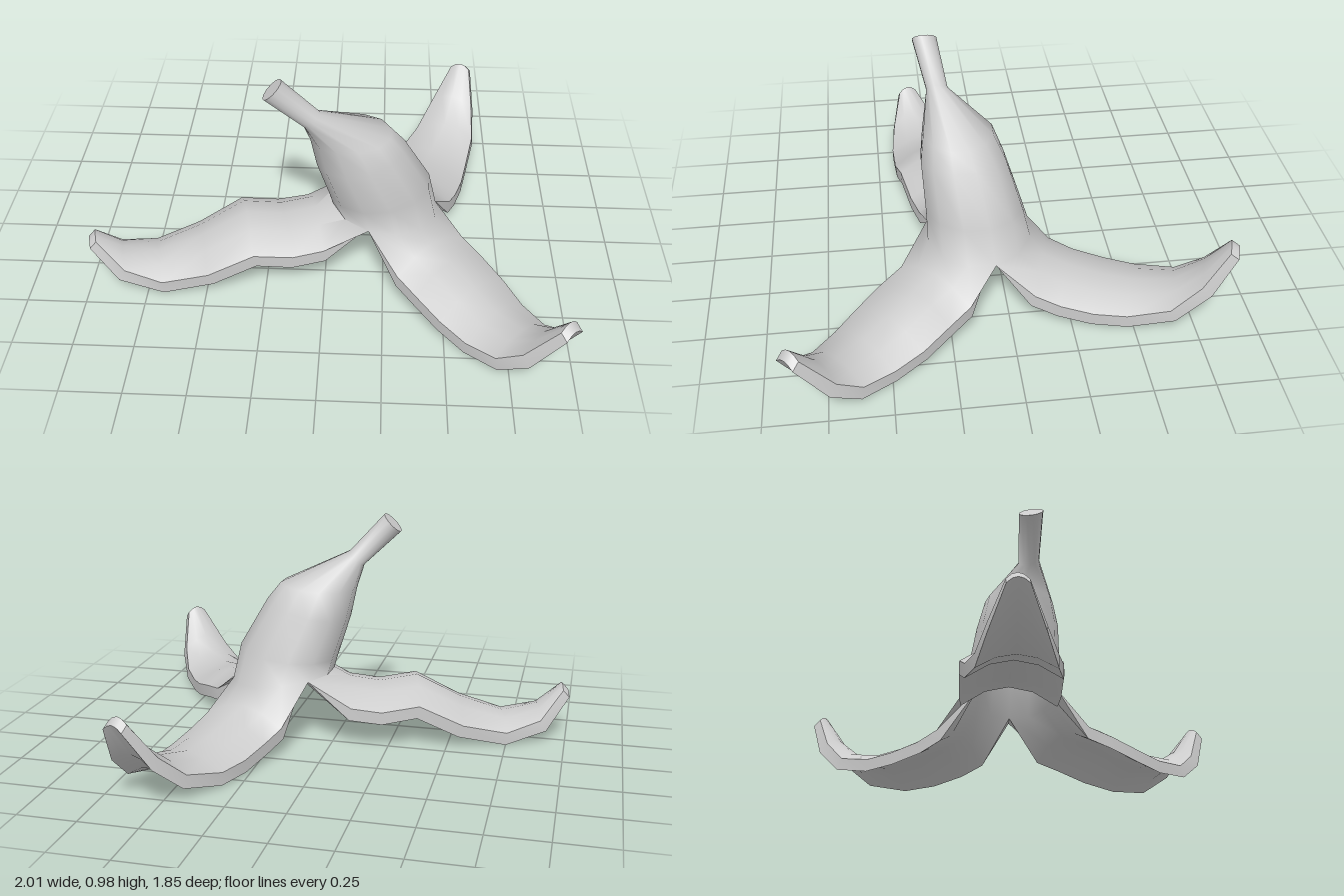
import * as THREE from 'three';
import { toCreasedNormals } from 'three/addons/utils/BufferGeometryUtils.js';

const V = (x, y, z) => new THREE.Vector3(x, y, z);
const STEP = Math.PI / 6;
const START = THREE.MathUtils.degToRad(47);

// Body rings, stem tip to root: [cx, cy, cz, rx, rz, slope of y over x, inner scale]
const RINGS = [
  [-0.207, 0.947, 0.272, 0.038, 0.053, 1.0, 0],
  [-0.055, 0.79, 0.235, 0.032, 0.046, 1.0, 0.02],
  [0.102, 0.675, 0.165, 0.17, 0.15, 0.06, 0.72],
  [0.142, 0.575, 0.15, 0.185, 0.18, 0.22, 0.76],
  [0.225, 0.385, 0.115, 0.217, 0.207, 0.12, 0.78],
  [0.25, 0.275, 0.1, 0.228, 0.222, -0.12, 0.78],
];

// Flap stations, root to tip: [x, y, z, half width, edge drop]
const FLAPS = [
  { name: 'frontLeftFlap', stations: [
    [0.45, 0.215, 0.30, 0.195, 0.07], [0.53, 0.2, 0.395, 0.195, 0.08],
    [0.62, 0.16, 0.5, 0.19, 0.075], [0.705, 0.13, 0.605, 0.17, 0.07],
    [0.8, 0.135, 0.71, 0.145, 0.065], [0.87, 0.2, 0.785, 0.11, 0.055],
    [0.945, 0.33, 0.865, 0.045, 0.025]] },
  { name: 'rightFlap', stations: [
    [-0.05, 0.27, 0.14, 0.2, 0.085], [-0.18, 0.25, 0.165, 0.205, 0.08],
    [-0.34, 0.28, 0.2, 0.205, 0.08], [-0.53, 0.18, 0.24, 0.185, 0.075],
    [-0.72, 0.115, 0.28, 0.15, 0.055], [-0.87, 0.155, 0.305, 0.105, 0.05],
    [-0.972, 0.25, 0.327, 0.042, 0.025]] },
  { name: 'backFlap', stations: [
    [0.36, 0.2, -0.16, 0.195, 0.07], [0.4, 0.165, -0.26, 0.19, 0.07],
    [0.44, 0.135, -0.39, 0.185, 0.065], [0.48, 0.125, -0.52, 0.17, 0.06],
    [0.545, 0.165, -0.68, 0.14, 0.055], [0.58, 0.26, -0.79, 0.1, 0.045],
    [0.615, 0.395, -0.88, 0.045, 0.025]] },
];

// Point k of a body ring, scaled toward the ring's centre
function ringPoint([cx, cy, cz, rx, rz, slope], k, scale = 1) {
  const dx = Math.cos(START + k * STEP) * rx * scale;
  const dz = Math.sin(START + k * STEP) * rz * scale;
  return V(cx + dx, cy + slope * dx, cz + dz);
}

const quad = (out, a, b, c, d) => out.push(a, b, c, b, d, c);

// Skin over a grid of rows; flip turns it to face inward
function skin(out, rows, flip) {
  for (let r = 0; r + 1 < rows.length; r++) {
    for (let c = 0; c + 1 < rows[r].length; c++) {
      const [a, b, d, e] = [rows[r][c], rows[r][c + 1], rows[r + 1][c], rows[r + 1][c + 1]];
      if (flip) quad(out, b, a, e, d);
      else quad(out, a, b, d, e);
    }
  }
}

function makeMesh(name, points, crease) {
  const geometry = toCreasedNormals(new THREE.BufferGeometry().setFromPoints(points), crease);
  const mesh = new THREE.Mesh(geometry, new THREE.MeshStandardMaterial({ color: 0xcccccc }));
  mesh.name = name;
  return mesh;
}

// Outer and inner rows of one flap, beginning at the body's root ring
function flapRows(stations, index) {
  const angle = START + index * 4 * STEP;
  const across = V(-Math.sin(angle), 0, Math.cos(angle));
  const cols = [-2, -1, 0, 1, 2];
  const root = RINGS[RINGS.length - 1];
  const outer = [cols.map((i) => ringPoint(root, index * 4 + i))];
  const inner = [cols.map((i) => ringPoint(root, index * 4 + i, root[6]))];
  stations.forEach(([x, y, z, half, drop], s) => {
    const before = stations[Math.max(s - 1, 0)];
    const after = stations[Math.min(s + 1, stations.length - 1)];
    const along = V(after[0] - before[0], after[1] - before[1], after[2] - before[2]);
    const thickness = s === stations.length - 1 ? 0.042 : 0.055;
    const inward = along.cross(across).normalize().multiplyScalar(thickness);
    if (inward.y > 0) inward.negate();
    const row = cols.map((i) =>
      V(x, y - drop * (i / 2) ** 2, z).addScaledVector(across, half * i / 2));
    outer.push(row);
    inner.push(row.map((p) => p.clone().add(inward)));
  });
  return { outer, inner };
}

export function createModel() {
  const group = new THREE.Group();
  group.name = 'bananaPeel';
  const outside = [], inside = [], cutEdges = [], cap = [];
  const loop = Array.from({ length: 13 }, (_, k) => k % 12);

  // Hollow body with its stem
  skin(outside, RINGS.map((ring) => loop.map((k) => ringPoint(ring, k))), false);
  skin(inside, RINGS.slice(1).map((ring) => loop.map((k) => ringPoint(ring, k, ring[6]))), true);

  // Three peeled flaps, with a cut rim along both sides and the tip
  FLAPS.forEach(({ stations }, index) => {
    const { outer, inner } = flapRows(stations, index);
    skin(outside, outer, false);
    skin(inside, inner, true);
    for (let r = 0; r + 1 < outer.length; r++) {
      quad(cutEdges, outer[r][0], outer[r + 1][0], inner[r][0], inner[r + 1][0]);
      quad(cutEdges, outer[r + 1][4], outer[r][4], inner[r + 1][4], inner[r][4]);
    }
    const last = outer.length - 1;
    for (let c = 0; c < 4; c++) {
      quad(cutEdges, outer[last][c], outer[last][c + 1], inner[last][c], inner[last][c + 1]);
    }
  });

  // Flat end of the stem
  for (let k = 0; k < 12; k++) {
    cap.push(ringPoint(RINGS[0], 0, 0), ringPoint(RINGS[0], k + 1), ringPoint(RINGS[0], k));
  }

  group.add(
    makeMesh('outerPeel', outside, 1.2),
    makeMesh('innerPeel', inside, 1.2),
    makeMesh('cutEdges', cutEdges, 0.6),
    makeMesh('stemEnd', cap, 0.6),
  );
  return group;
}
